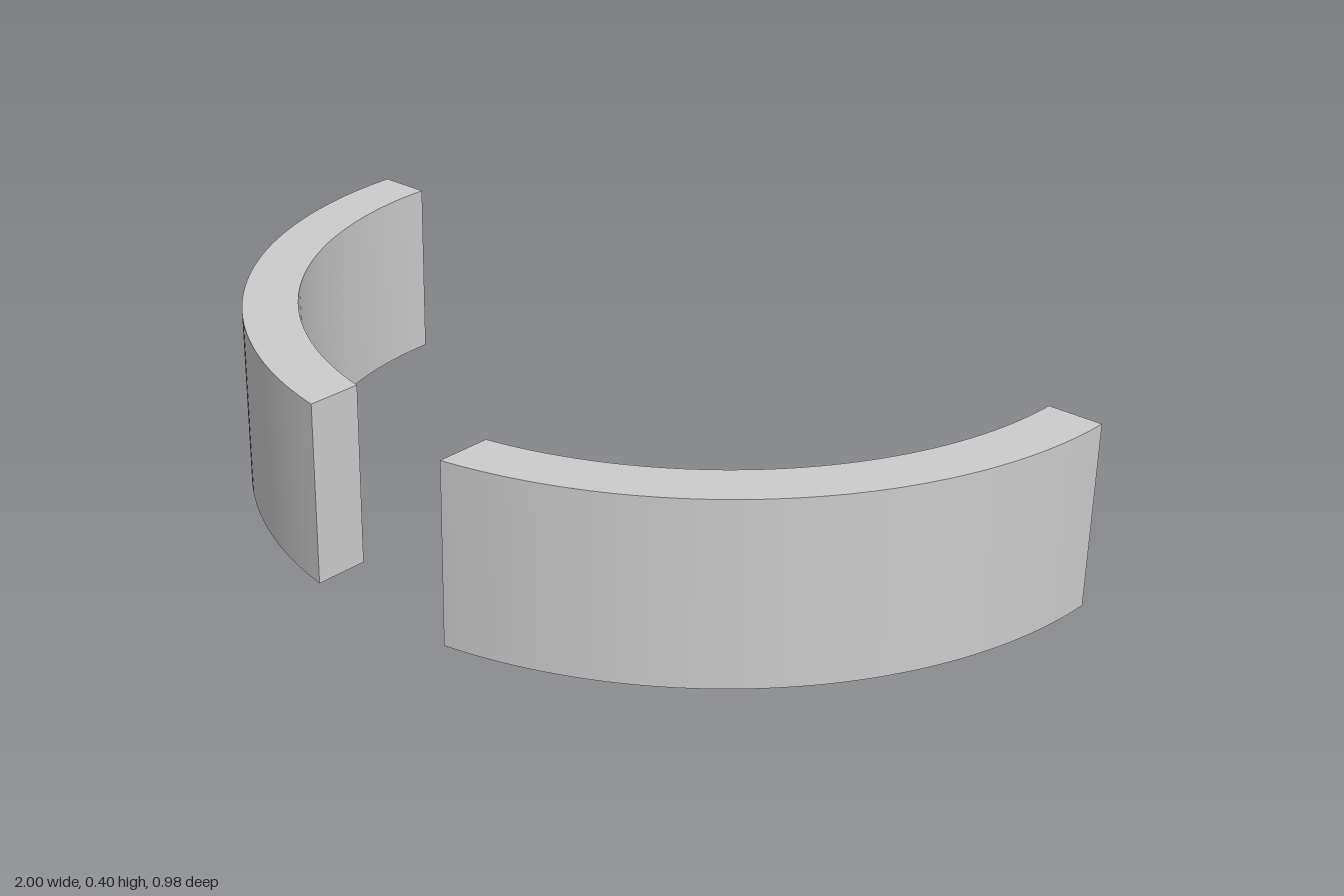
import * as THREE from 'three';
import { toCreasedNormals } from 'three/addons/utils/BufferGeometryUtils.js';

const OUTER = 1, INNER = 0.88, HEIGHT = 0.403, HALF_GAP = 0.18, CENTRE_Z = -0.492;

// One curved wall: a ring sector with a square back end and a front end cut parallel to the z axis
function wallGeometry(side) {
  const angle = (r) => Math.acos(HALF_GAP / r);
  const shape = new THREE.Shape();
  if (side > 0) {
    shape.absarc(0, 0, OUTER, 0, angle(OUTER), false);
    shape.absarc(0, 0, INNER, angle(INNER), 0, true);
  } else {
    shape.absarc(0, 0, OUTER, Math.PI, Math.PI - angle(OUTER), true);
    shape.absarc(0, 0, INNER, Math.PI - angle(INNER), Math.PI, false);
  }
  shape.closePath();
  const geometry = new THREE.ExtrudeGeometry(shape, { depth: HEIGHT, bevelEnabled: false, curveSegments: 32 });
  // Lay the outline flat: its y becomes z, its depth becomes height
  geometry.rotateX(Math.PI / 2);
  geometry.translate(0, HEIGHT, CENTRE_Z);
  return toCreasedNormals(geometry, Math.PI / 6);
}

export function createModel() {
  const model = new THREE.Group();
  model.name = 'curvedWalls';
  const material = new THREE.MeshStandardMaterial({ color: 0xcccccc });
  for (const [name, side] of [['leftCurvedWall', 1], ['rightCurvedWall', -1]]) {
    const wall = new THREE.Mesh(wallGeometry(side), material);
    wall.name = name;
    model.add(wall);
  }
  return model;
}
